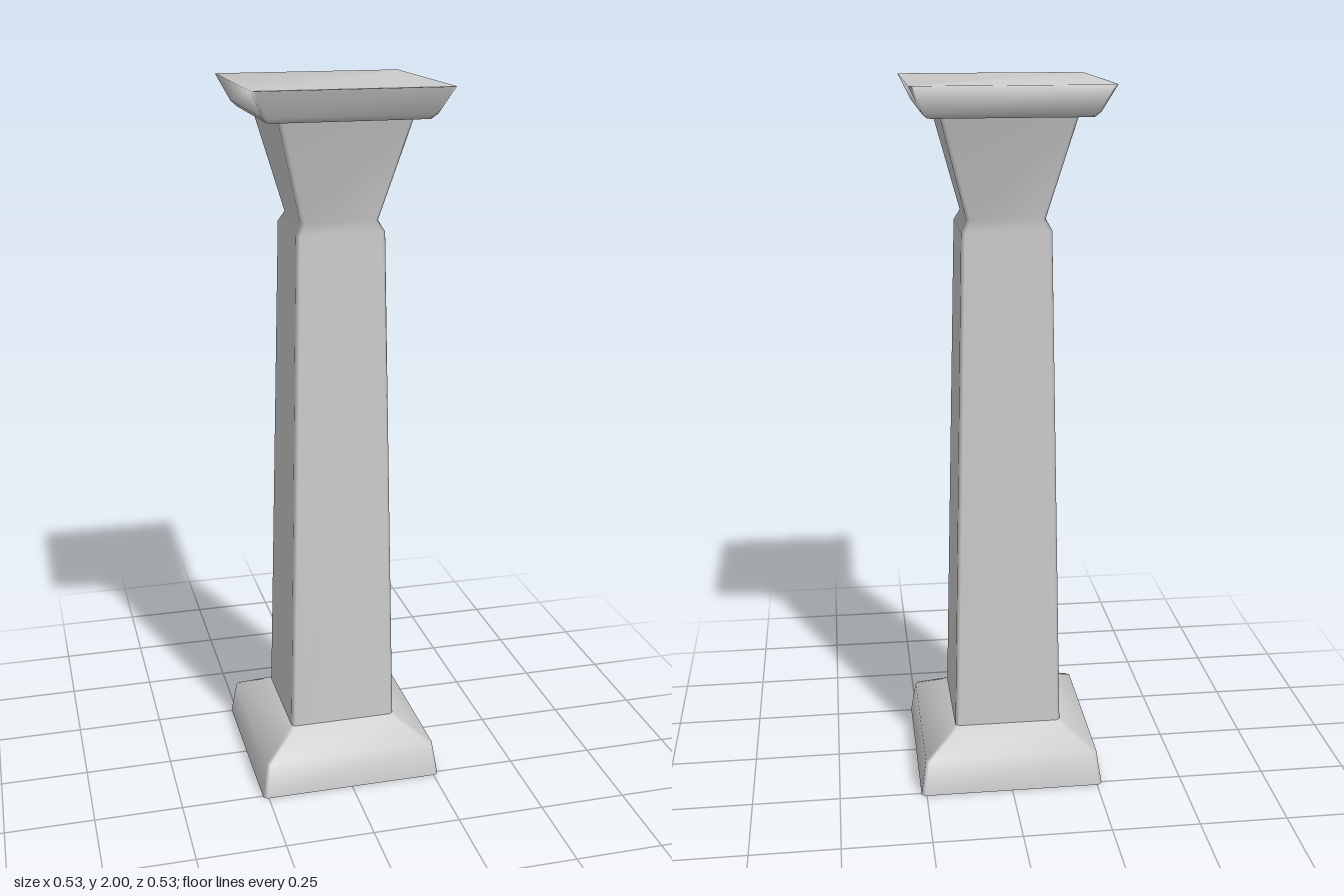
import * as THREE from 'three';

const material = new THREE.MeshStandardMaterial({ color: 0xcccccc, side: THREE.DoubleSide });

// Square ring with slightly cut corners, counter-clockwise seen from above.
// It starts beside the (-x, +z) corner.
function ring(half, y, cut = 0.01) {
  const points = [];
  for (const [sx, sz] of [[-1, 1], [1, 1], [1, -1], [-1, -1]]) {
    const a = [sx * half, y, sz * (half - cut)];
    const b = [sx * (half - cut), y, sz * half];
    points.push(...(sx * sz < 0 ? [a, b] : [b, a]));
  }
  return points;
}

// Smooth skin through square sections given as [half width, height], bottom to top
function squareLoft(name, sections, closedTop = false) {
  const positions = sections.flatMap(([half, y]) => ring(half, y)).flat();
  const index = [];
  for (let s = 0; s < sections.length - 1; s++) {
    for (let i = 0; i < 8; i++) {
      const a = s * 8 + i, b = s * 8 + (i + 1) % 8;
      index.push(a, b, b + 8, a, b + 8, a + 8);
    }
  }
  if (closedTop) {
    const t = (sections.length - 1) * 8;
    for (let i = 1; i < 7; i++) index.push(t, t + i, t + i + 1);
  }
  const geometry = new THREE.BufferGeometry();
  geometry.setAttribute('position', new THREE.Float32BufferAttribute(positions, 3));
  geometry.setIndex(index);
  geometry.computeVertexNormals();
  const mesh = new THREE.Mesh(geometry, material);
  mesh.name = name;
  return mesh;
}

export function createModel() {
  const column = new THREE.Group();
  column.name = 'column';
  column.add(
    // Hollow plinth, open underneath
    squareLoft('base', [[0.265, 0], [0.25, 0.1], [0.155, 0.16]]),
    // Tapering shaft, pinched neck and flared capital
    squareLoft('shaft', [[0.155, 0.16], [0.123, 1.61], [0.107, 1.64], [0.18, 1.915]]),
    // Slab on top, with its underside reaching in to the capital
    squareLoft('cap', [[0.18, 1.915], [0.216, 1.916], [0.23, 1.93], [0.265, 2]], true),
  );
  return column;
}
